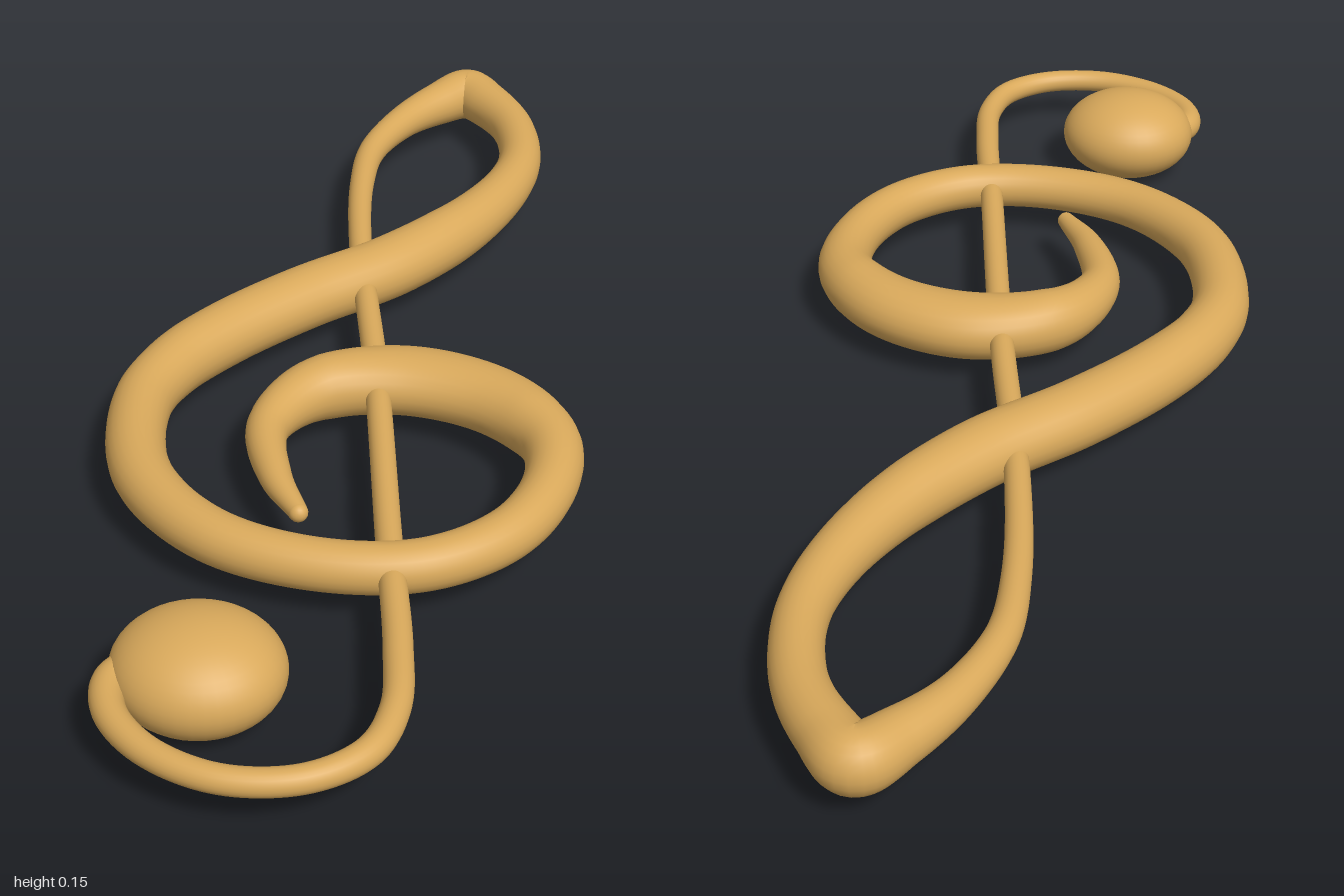
import * as THREE from 'three';

const MID = 0.077; // height of the flat centreline

// Sweeps a rounded section along a flat curve; each knot is [x, z, radius].
function sweep(knots, steps, sides) {
  const curve = new THREE.CatmullRomCurve3(
    knots.map(([x, z, r]) => new THREE.Vector3(x, r, z)), false, 'centripetal');
  const up = new THREE.Vector3(0, 1, 0);
  const pos = [], index = [];
  for (let i = 0; i <= steps; i++) {
    const c = curve.getPoint(i / steps);
    const t = curve.getTangent(i / steps).setY(0).normalize();
    const side = new THREE.Vector3().crossVectors(up, t);
    const r = c.y, h = Math.min(r, 0.05);
    for (let j = 0; j < sides; j++) {
      const a = (j / sides) * Math.PI * 2;
      pos.push(c.x + side.x * Math.cos(a) * r, MID + Math.sin(a) * h, c.z + side.z * Math.cos(a) * r);
      if (i < steps) {
        const k = (j + 1) % sides, p = i * sides, q = p + sides;
        index.push(p + j, p + k, q + j, p + k, q + k, q + j);
      }
    }
  }
  const g = new THREE.BufferGeometry();
  g.setAttribute('position', new THREE.Float32BufferAttribute(pos, 3));
  g.setIndex(index);
  g.computeVertexNormals();
  return g;
}

export function createModel() {
  const group = new THREE.Group();
  group.name = 'trebleClef';
  const gold = new THREE.MeshStandardMaterial({ color: 0xd9a95b });
  const add = (name, geometry) => {
    const m = new THREE.Mesh(geometry, gold);
    m.name = name;
    group.add(m);
    return m;
  };

  // One continuous stroke: spiral, big bowl, upper loop, stem, hook
  add('stroke', sweep([
    [-0.024, 0.425, 0.014], [-0.075, 0.345, 0.024], [-0.113, 0.22, 0.033],
    [-0.065, 0.11, 0.048], [0.06, 0.06, 0.061], [0.2, 0.09, 0.056],
    [0.295, 0.18, 0.046], [0.312, 0.29, 0.04], [0.27, 0.42, 0.038],
    [0.17, 0.51, 0.037], [0.03, 0.537, 0.037], [-0.13, 0.5, 0.039],
    [-0.26, 0.38, 0.043], [-0.312, 0.2, 0.045], [-0.295, 0.09, 0.048],
    [-0.24, -0.02, 0.052], [-0.14, -0.155, 0.055], [-0.02, -0.285, 0.055],
    [0.08, -0.45, 0.047], [0.128, -0.6, 0.04], [0.133, -0.71, 0.037],
    [0.1, -0.83, 0.038], [0.045, -0.91, 0.042], [0, -0.95, 0.046],
    [-0.045, -0.9, 0.039], [-0.095, -0.815, 0.03], [-0.13, -0.69, 0.024],
    [-0.125, -0.56, 0.021], [-0.085, -0.34, 0.019], [0.013, 0.04, 0.019],
    [0.115, 0.48, 0.019], [0.165, 0.69, 0.02], [0.183, 0.81, 0.02],
    [0.165, 0.895, 0.02], [0.1, 0.955, 0.019], [0, 0.975, 0.019],
    [-0.1, 0.943, 0.02], [-0.165, 0.88, 0.022], [-0.178, 0.82, 0.024],
    [-0.14, 0.77, 0.024],
  ], 400, 24));

  // Rounded tip of the spiral
  add('spiralTip', new THREE.SphereGeometry(0.014, 20, 12)).position.set(-0.024, MID, 0.425);

  // Flattened ball closing the hook
  const ball = add('ball', new THREE.SphereGeometry(1, 40, 24));
  ball.scale.set(0.116, 0.075, 0.108);
  ball.position.set(-0.077, 0.075, 0.778);
  return group;
}
